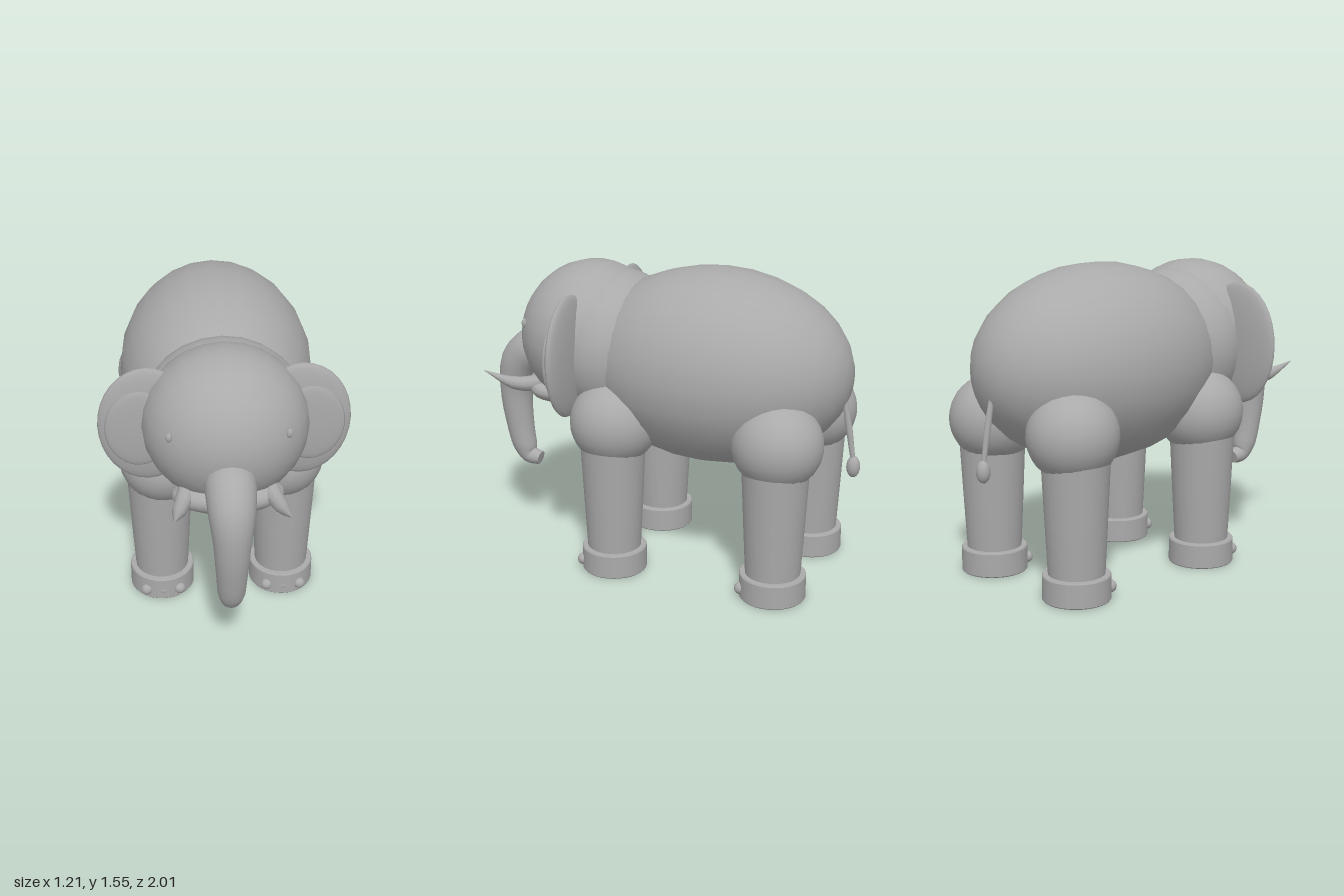
import * as THREE from 'three';

const grey = new THREE.MeshStandardMaterial({ color: 0xaaaaaa });
grey.name = 'elephant grey';

// Tapered tube: each station is [x, y, z, radius]
function taperedTube(stations, rings, sides) {
  const path = new THREE.CatmullRomCurve3(stations.map(s => new THREE.Vector3(s[0], s[1], s[2])));
  const last = stations.length - 1;
  const pos = [], index = [];
  const side = new THREE.Vector3(), up = new THREE.Vector3();
  for (let i = 0; i <= rings; i++) {
    const t = i / rings, k = Math.min(Math.floor(t * last), last - 1);
    const r = THREE.MathUtils.lerp(stations[k][3], stations[k + 1][3], t * last - k);
    const p = path.getPoint(t), dir = path.getTangent(t);
    side.set(1, 0, 0).addScaledVector(dir, -dir.x).normalize();
    up.crossVectors(dir, side);
    for (let j = 0; j < sides; j++) {
      const a = j / sides * Math.PI * 2;
      const v = p.clone().addScaledVector(side, r * Math.cos(a)).addScaledVector(up, r * Math.sin(a));
      pos.push(v.x, v.y, v.z);
      if (i < rings) {
        const n = (j + 1) % sides, b = i * sides;
        index.push(b + j, b + n, b + sides + j, b + n, b + sides + n, b + sides + j);
      }
    }
  }
  // End cap on its own vertices so the rim stays sharp
  const base = pos.length / 3, from = rings * sides;
  pos.push(...pos.slice(from * 3));
  for (let j = 1; j < sides - 1; j++) index.push(base, base + j, base + j + 1);
  const geo = new THREE.BufferGeometry();
  geo.setAttribute('position', new THREE.Float32BufferAttribute(pos, 3));
  geo.setIndex(index);
  geo.computeVertexNormals();
  return geo;
}

export function createModel() {
  const model = new THREE.Group();
  model.name = 'elephant';

  const add = (name, geo, x = 0, y = 0, z = 0, parent = model) => {
    const mesh = new THREE.Mesh(geo, grey);
    mesh.name = name;
    mesh.position.set(x, y, z);
    parent.add(mesh);
    return mesh;
  };
  // Ellipsoid with its poles along z
  const ellipsoid = (name, c, r, w = 24, h = 16, parent = model) => {
    const geo = new THREE.SphereGeometry(1, w, h).rotateX(Math.PI / 2).scale(r[0], r[1], r[2]);
    return add(name, geo, c[0], c[1], c[2], parent);
  };

  // Torso and head
  ellipsoid('body', [0, 1.06, -0.24], [0.495, 0.495, 0.7]);
  ellipsoid('neck', [0, 1.1, 0.3], [0.41, 0.395, 0.32]);
  ellipsoid('head', [0, 1.15, 0.44], [0.4, 0.382, 0.37]);
  ellipsoid('mouth', [0, 0.87, 0.63], [0.27, 0.09, 0.15]).rotation.x = -0.2;

  // Trunk
  add('trunk', taperedTube([
    [0, 1.04, 0.7, 0.12], [0, 1.01, 0.81, 0.12], [0, 0.93, 0.885, 0.11], [0, 0.78, 0.917, 0.088],
    [0, 0.6, 0.905, 0.075], [0, 0.47, 0.88, 0.066], [0, 0.41, 0.85, 0.05], [0, 0.395, 0.785, 0.037],
  ], 28, 20));

  for (const s of [1, -1]) {
    const sideName = s > 0 ? 'left' : 'right';

    // Eye, ear and tusk
    ellipsoid(sideName + 'Eye', [s * 0.275, 1.24, 0.7], [0.016, 0.025, 0.014], 12, 8);
    ellipsoid(sideName + 'Ear', [s * 0.37, 1.125, 0.405], [0.236, 0.31, 0.045], 32, 16);
    ellipsoid(sideName + 'InnerEar', [s * 0.41, 1.125, 0.443], [0.162, 0.205, 0.02], 32, 12);
    add(sideName + 'Tusk', taperedTube([
      [s * 0.185, 0.93, 0.6, 0.04], [s * 0.21, 0.9, 0.7, 0.042],
      [s * 0.238, 0.9, 0.8, 0.034], [s * 0.265, 0.955, 0.958, 0.001],
    ], 15, 10));

    // Front and hind legs
    for (const [legName, z] of [['FrontLeg', 0.195], ['HindLeg', -0.665]]) {
      const leg = new THREE.Group();
      leg.name = sideName + legName;
      leg.position.set(s * 0.315, 0, z);
      model.add(leg);
      ellipsoid('thigh', [-s * 0.018, 0.79, 0], [0.22, 0.22, 0.224], 24, 16, leg);
      add('upperLeg', new THREE.CylinderGeometry(0.166, 0.15, 0.33, 24), 0, 0.535, 0, leg);
      add('lowerLeg', new THREE.CylinderGeometry(0.15, 0.136, 0.27, 24), 0, 0.235, 0, leg);
      const footProfile = [[0, 0], [0.162, 0], [0.162, 0], [0.166, 0.005], [0.166, 0.005], [0.166, 0.12],
        [0.166, 0.12], [0.162, 0.127], [0.162, 0.127], [0, 0.127]].map(p => new THREE.Vector2(...p));
      add('foot', new THREE.LatheGeometry(footProfile, 32), 0, 0, 0, leg);
      for (const x of [-0.086, 0, 0.086]) ellipsoid('toenail', [x, 0.05, 0.14], [0.031, 0.031, 0.028], 12, 8, leg);
    }
  }

  // Tail
  add('tail', taperedTube([[0, 0.99, -0.9, 0.012], [0, 0.83, -0.932, 0.017], [0, 0.65, -0.962, 0.012]], 6, 10));
  ellipsoid('tailTuft', [0, 0.615, -0.965], [0.035, 0.056, 0.034], 14, 10);

  return model;
}
